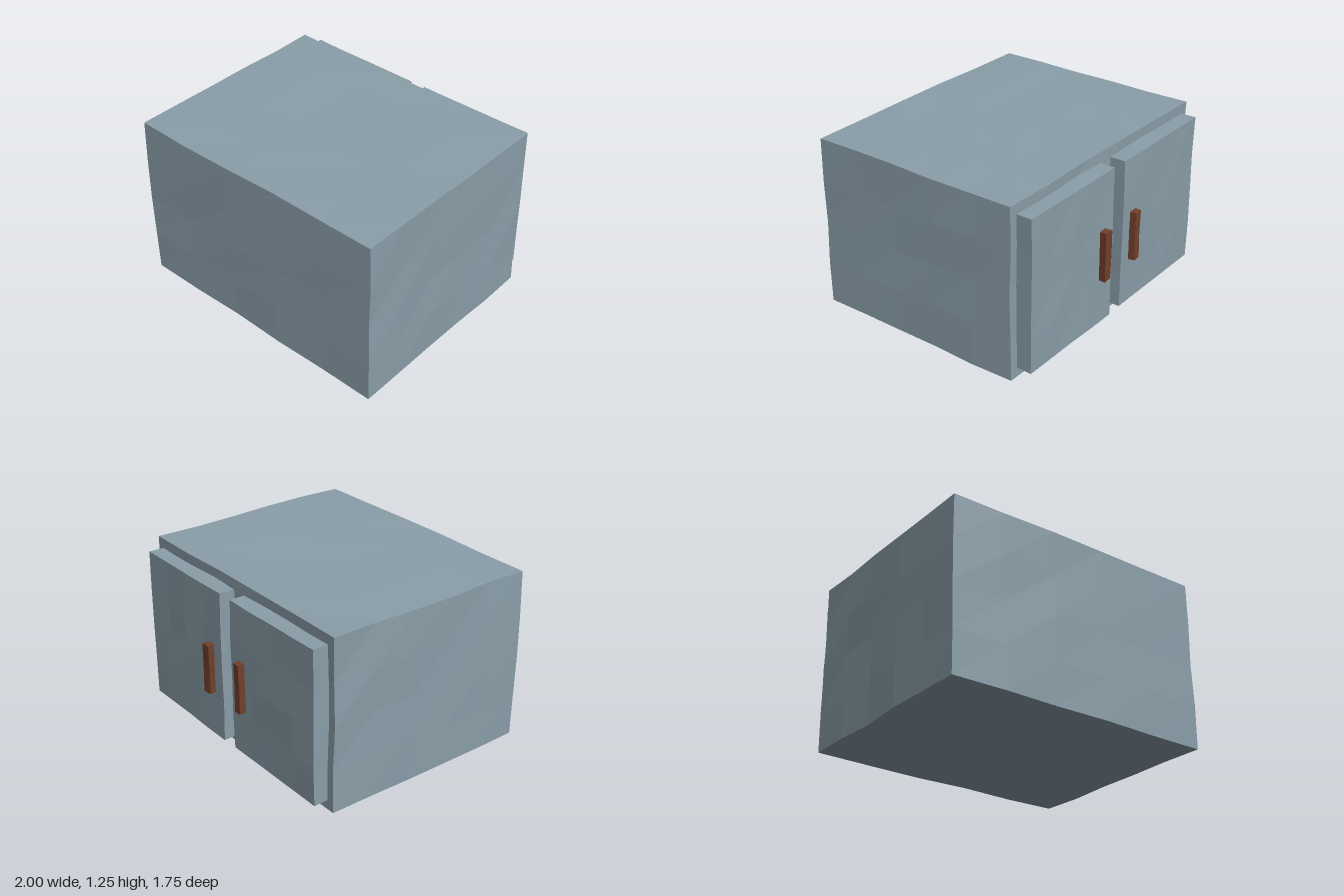
import * as THREE from 'three';

const paint = new THREE.MeshStandardMaterial({ color: 0x8a9ea9, flatShading: true });
const wood = new THREE.MeshStandardMaterial({ color: 0x73402b, flatShading: true });

// Repeatable value in -1..1 from a position, so shared corners move together
function hash(x, y, z, k) {
  const s = Math.sin(x * 127.1 + y * 311.7 + z * 74.7 + k * 53.3) * 43758.5453;
  return (s - Math.floor(s)) * 2 - 1;
}

// Box given by its limits, with slightly uneven hand-cut faces
function roughBox(name, material, [x0, x1], [y0, y1], [z0, z1], segments, wobble, taper = 1) {
  const geo = new THREE.BoxGeometry(x1 - x0, y1 - y0, z1 - z0, ...segments);
  const p = geo.attributes.position;
  const mid = [(x0 + x1) / 2, (y0 + y1) / 2, (z0 + z1) / 2];
  for (let i = 0; i < p.count; i++) {
    // Taper widens or narrows the outer (-z) face
    const x = p.getX(i) * (p.getZ(i) < 0 ? taper : 1) + mid[0];
    const y = p.getY(i) + mid[1];
    const z = p.getZ(i) + mid[2];
    const q = [x, y, z].map((v) => Math.round(v * 1000) / 1000 + 0);
    p.setXYZ(i,
      x + wobble * hash(...q, 1),
      y + wobble * hash(...q, 2),
      z + wobble * hash(...q, 3));
  }
  geo.computeVertexNormals();
  const mesh = new THREE.Mesh(geo, material);
  mesh.name = name;
  return mesh;
}

export function createModel() {
  const group = new THREE.Group();
  group.name = 'cabinet';

  // Main carcass
  group.add(roughBox('body', paint, [-0.994, 0.994], [0.006, 1.247], [-0.706, 0.866], [5, 4, 5], 0.006));

  // Pair of doors on the -z side
  group.add(roughBox('rightDoor', paint, [-0.937, -0.06], [0.078, 1.177], [-0.82, -0.69], [4, 4, 1], 0.004));
  group.add(roughBox('leftDoor', paint, [0.057, 0.931], [0.078, 1.177], [-0.82, -0.69], [4, 4, 1], 0.004));

  // Upright handles beside the gap
  group.add(roughBox('rightHandle', wood, [-0.21, -0.145], [0.415, 0.775], [-0.867, -0.818], [1, 2, 1], 0.003, 0.85));
  group.add(roughBox('leftHandle', wood, [0.147, 0.203], [0.415, 0.775], [-0.871, -0.818], [1, 2, 1], 0.003, 1.25));

  return group;
}
